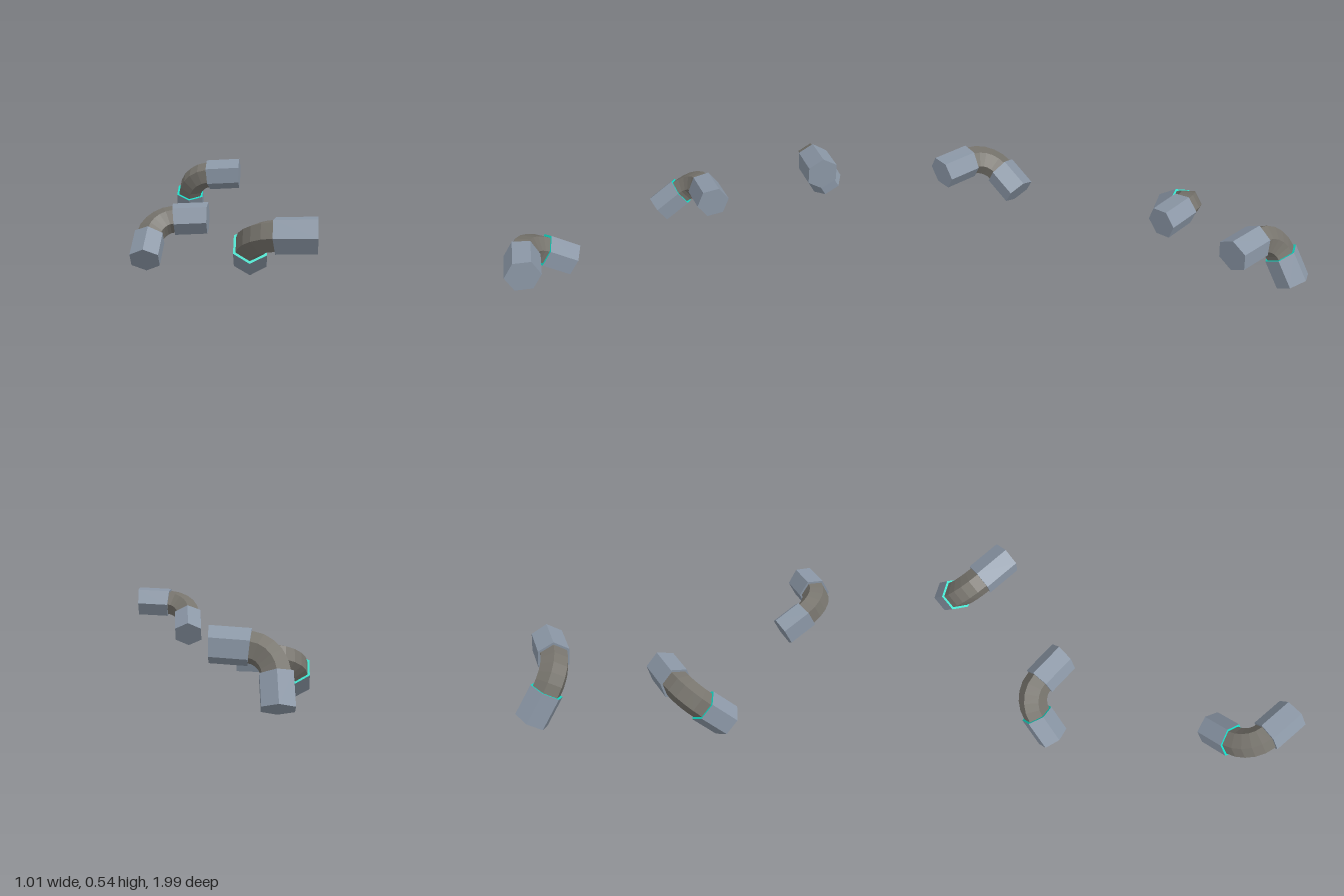
import * as THREE from 'three';

const SLEEVE_R = 0.09, TUBE_R = 0.077, SIDES = 6;

const sleeveMat = new THREE.MeshStandardMaterial({ color: 0x8b97a6 });
const tubeMat = new THREE.MeshStandardMaterial({ color: 0x77746d });
const sealMat = new THREE.MeshStandardMaterial({ color: 0x12dcc6 });

// Hexagonal ring at a station of the centreline, with a corner along z
function ring(station, r) {
  const { p, t } = station;
  const pts = [];
  for (let k = 0; k < SIDES; k++) {
    const a = (k / SIDES) * Math.PI * 2;
    const s = Math.sin(a) * r;
    pts.push([p.x + t.y * s, p.y - t.x * s, Math.cos(a) * r]);
  }
  return { pts, r };
}

// Flat-faced skin joining rings in order
function loft(name, rings, material) {
  const pos = [];
  for (let i = 0; i < rings.length - 1; i++) {
    const a = rings[i], b = rings[i + 1];
    for (let k = 0; k < SIDES; k++) {
      const n = (k + 1) % SIDES;
      if (a.r > 0) pos.push(...a.pts[k], ...a.pts[n], ...b.pts[n]);
      if (b.r > 0) pos.push(...a.pts[k], ...b.pts[n], ...b.pts[k]);
    }
  }
  const geo = new THREE.BufferGeometry();
  geo.setAttribute('position', new THREE.Float32BufferAttribute(pos, 3));
  geo.computeVertexNormals();
  const mesh = new THREE.Mesh(geo, material);
  mesh.name = name;
  return mesh;
}

const station = (x, y, tx, ty) => ({
  p: new THREE.Vector2(x, y),
  t: new THREE.Vector2(tx, ty).normalize(),
});

// One pipe elbow: starts at the origin along +y and bends towards +x
function pipeElbow() {
  const g = new THREE.Group();
  const start = station(0, 0, 0, 1);
  const bendStart = station(0.008, 0.165, 0.1, 1);
  const bendEnd = station(0.129, 0.297, 1, 0.13);
  const end = station(0.319, 0.311, 1, 0);

  // Bent tube between the sleeves
  const curve = new THREE.CubicBezierCurve(
    bendStart.p,
    bendStart.p.clone().addScaledVector(bendStart.t, 0.066),
    bendEnd.p.clone().addScaledVector(bendEnd.t, -0.066),
    bendEnd.p
  );
  const bend = [];
  for (let i = 0; i <= 5; i++) {
    bend.push(ring({ p: curve.getPoint(i / 5), t: curve.getTangent(i / 5) }, TUBE_R));
  }

  g.add(
    loft('lowerSleeve', [ring(start, 0), ring(start, SLEEVE_R), ring(bendStart, SLEEVE_R)], sleeveMat),
    // Bright step where the lower sleeve meets the tube
    loft('sealRing', [ring(bendStart, SLEEVE_R), ring(bendStart, TUBE_R)], sealMat),
    loft('bentTube', bend, tubeMat),
    loft('upperSleeve', [ring(bendEnd, TUBE_R), ring(bendEnd, SLEEVE_R), ring(end, SLEEVE_R), ring(end, 0)], sleeveMat)
  );
  return g;
}

export function createModel() {
  const model = new THREE.Group();
  model.name = 'pipeElbows';
  // Same elbow three times, each rolled about x
  const placements = [
    ['frontElbow', 0.186, 0.217, 0.642, 1.03],
    ['middleElbow', -0.428, 0.07, 0.06, -0.88],
    ['backElbow', -0.298, 0.185, -0.918, 0.546],
  ];
  for (const [name, x, y, z, roll] of placements) {
    const elbow = pipeElbow();
    elbow.name = name;
    elbow.position.set(x, y, z);
    elbow.rotation.x = roll;
    model.add(elbow);
  }
  return model;
}
